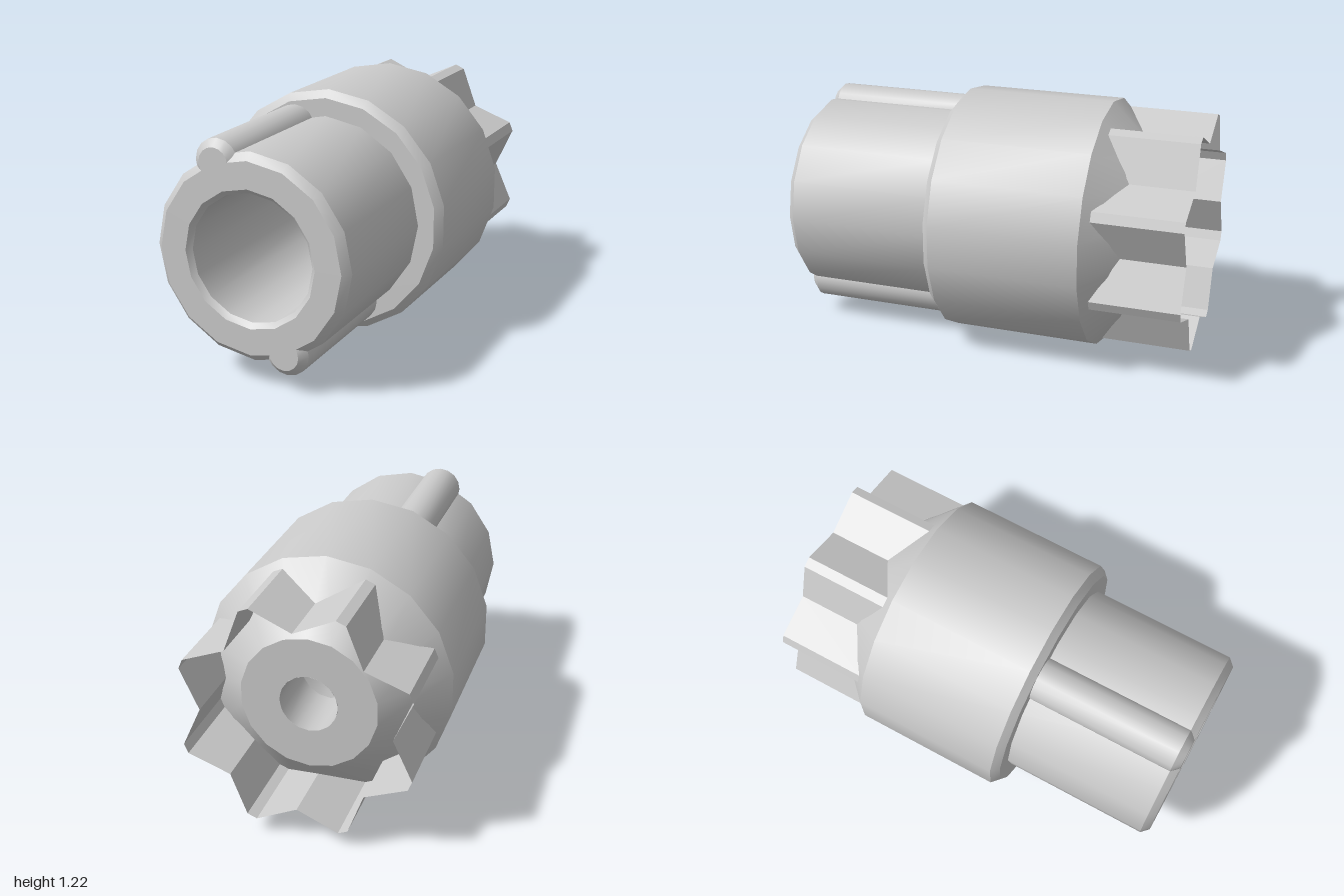
import * as THREE from 'three';
import { toCreasedNormals } from 'three/addons/utils/BufferGeometryUtils.js';

const material = new THREE.MeshStandardMaterial({ color: 0xcccccc, side: THREE.DoubleSide });

// Turned part around the z axis; profile points are [radius, z]
function turned(name, profile, sides) {
  const points = profile.map(([r, z]) => new THREE.Vector2(r, z));
  const geometry = new THREE.LatheGeometry(points, sides).rotateX(Math.PI / 2);
  const mesh = new THREE.Mesh(toCreasedNormals(geometry, 0.5), material);
  mesh.name = name;
  return mesh;
}

// Open fluted skirt: eight flat-tipped teeth whose base follows the 45 degree cone
function flutedSkirt() {
  const outline = [];
  const tip = 0.574, valley = 0.45, half = 0.043;
  for (let i = 0; i < 8; i++) {
    const a = (i * Math.PI) / 4;
    outline.push([valley, a], [tip, a + Math.PI / 8 - half], [tip, a + Math.PI / 8 + half]);
  }
  const positions = [];
  outline.forEach(([r0, a0], i) => {
    const [r1, a1] = outline[(i + 1) % outline.length];
    const at = (r, a, z) => [r * Math.cos(a), r * Math.sin(a), z];
    const b0 = at(r0, a0, r0 - 1.142), b1 = at(r1, a1, r1 - 1.142);
    const e0 = at(r0, a0, -1), e1 = at(r1, a1, -1);
    positions.push(...e0, ...e1, ...b1, ...e0, ...b1, ...b0);
  });
  const geometry = new THREE.BufferGeometry();
  geometry.setAttribute('position', new THREE.Float32BufferAttribute(positions, 3));
  geometry.computeVertexNormals();
  const mesh = new THREE.Mesh(geometry, material);
  mesh.name = 'flutedSkirt';
  return mesh;
}

export function createModel() {
  const group = new THREE.Group();
  group.name = 'couplingSleeve';
  const core = new THREE.Group();
  core.name = 'core';
  core.position.y = 0.612;
  group.add(core);

  // Wide body with chamfered front and a long truncated cone at the back
  core.add(turned('body', [
    [0.14, -0.81], [0.33, -0.81], [0.612, -0.53], [0.612, 0.2], [0.575, 0.235], [0.45, 0.235],
  ], 18));

  // Front sleeve with chamfered rim, wide bore and narrow through hole
  core.add(turned('frontSleeve', [
    [0.487, 0.23], [0.487, 0.965], [0.452, 1], [0.325, 1], [0.302, 0.975],
    [0.302, -0.5], [0.14, -0.5], [0.14, -0.81],
  ], 16));

  // Two opposite rounded keys along the sleeve
  for (const side of [1, -1]) {
    const key = turned(side > 0 ? 'upperKey' : 'lowerKey', [
      [0.108, 0.23], [0.108, 0.965], [0.073, 1], [0, 1],
    ], 16);
    key.position.set(-0.167 * side, 0.421 * side, 0);
    core.add(key);
  }

  core.add(flutedSkirt());
  return group;
}
